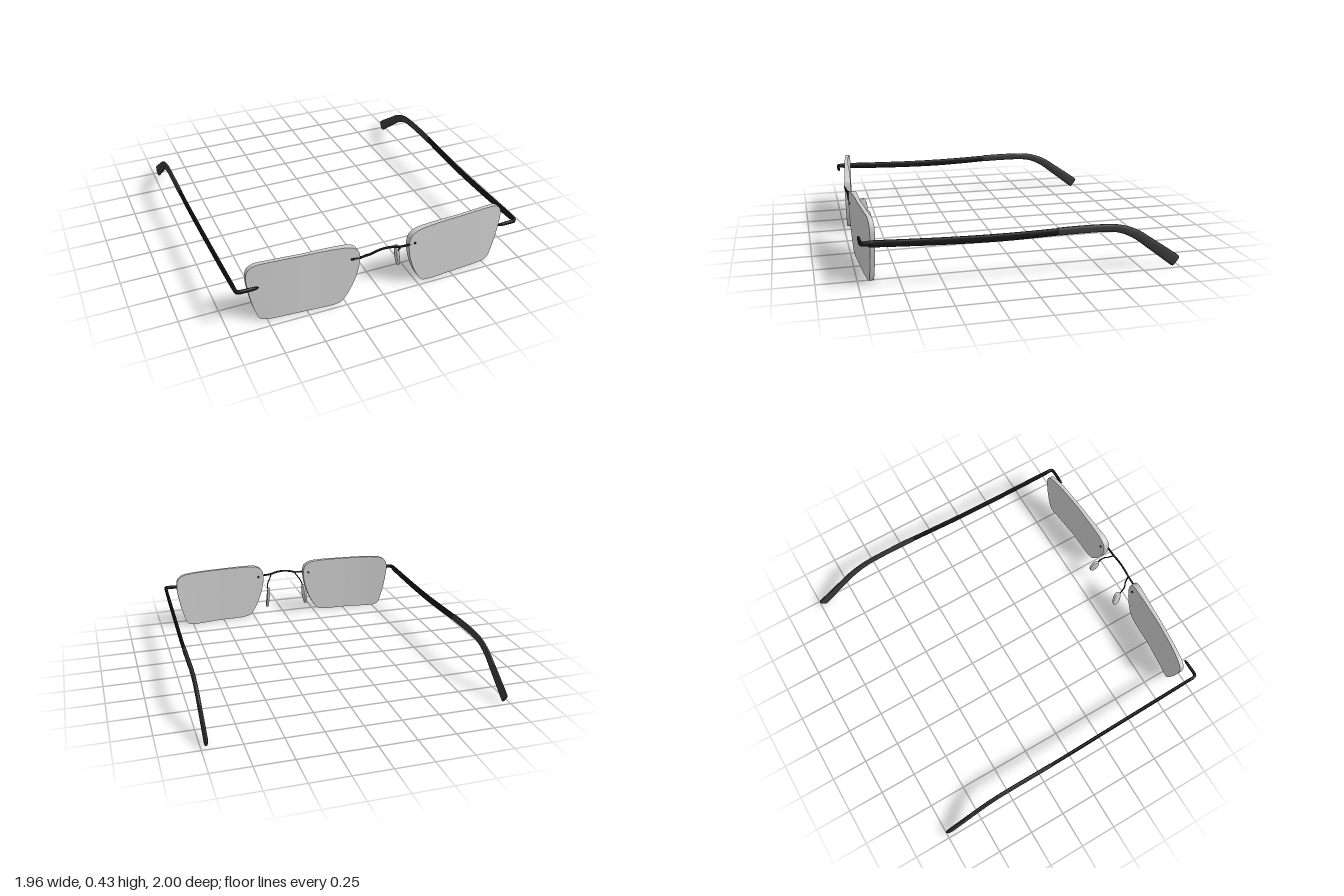
import * as THREE from 'three';
import { toCreasedNormals } from 'three/addons/utils/BufferGeometryUtils.js';

const V = (x, y, z) => new THREE.Vector3(x, y, z);
const paint = (color) => new THREE.MeshStandardMaterial({ color });

// Skin a list of equal closed rings and cap both ends
function skin(rings, crease = 0.6) {
  const n = rings[0].length, pos = [], idx = [];
  rings.forEach((r) => r.forEach((p) => pos.push(p.x, p.y, p.z)));
  for (let i = 0; i < rings.length - 1; i++) {
    for (let j = 0; j < n; j++) {
      const a = i * n + j, b = i * n + (j + 1) % n;
      idx.push(a, b, a + n, b, b + n, a + n);
    }
  }
  [0, rings.length - 1].forEach((k) => {
    const c = rings[k].reduce((s, p) => s.add(p), V(0, 0, 0)).divideScalar(n);
    const ci = pos.length / 3;
    pos.push(c.x, c.y, c.z);
    for (let j = 0; j < n; j++) {
      const a = k * n + j, b = k * n + (j + 1) % n;
      if (k === 0) idx.push(ci, b, a); else idx.push(ci, a, b);
    }
  });
  const g = new THREE.BufferGeometry();
  g.setAttribute('position', new THREE.Float32BufferAttribute(pos, 3));
  g.setIndex(idx);
  return toCreasedNormals(g, crease);
}

// Sweep a rounded section along [x, y, z, height, width] stations
function sweep(stations, steps, sides = 16) {
  const path = new THREE.CatmullRomCurve3(stations.map((s) => V(s[0], s[1], s[2])), false, 'catmullrom');
  const size = new THREE.CatmullRomCurve3(stations.map((s) => V(s[3], s[4], 0)), false, 'catmullrom');
  const soft = (c) => Math.sign(c) * Math.abs(c) ** 0.75;
  const rings = [];
  for (let i = 0; i <= steps; i++) {
    const p = path.getPoint(i / steps), s = size.getPoint(i / steps), t = path.getTangent(i / steps);
    const v = t.clone().cross(V(0, 1, 0)).normalize(), u = v.clone().cross(t);
    rings.push(Array.from({ length: sides }, (_, j) => {
      const a = (j / sides) * Math.PI * 2;
      return p.clone().addScaledVector(u, soft(Math.cos(a)) * s.x / 2)
        .addScaledVector(v, soft(Math.sin(a)) * s.y / 2);
    }));
  }
  return skin(rings);
}

// Piecewise linear lookup of z over x
function lookup(table, x) {
  let i = 0;
  while (i < table.length - 2 && x > table[i + 1][0]) i++;
  const [x0, z0] = table[i], [x1, z1] = table[i + 1];
  return z0 + (z1 - z0) * (x - x0) / (x1 - x0);
}

// Wrapped lens: rounded outline, thinner in the middle
function lensGeometry() {
  const outline = [
    [0.865, 0.34], [0.853, 0.392], [0.815, 0.42], [0.74, 0.429], [0.52, 0.432], [0.3, 0.43],
    [0.22, 0.42], [0.178, 0.39], [0.166, 0.335], [0.176, 0.25], [0.208, 0.145], [0.252, 0.06],
    [0.278, 0.026], [0.325, 0.012], [0.54, 0.01], [0.765, 0.011], [0.797, 0.026], [0.812, 0.06],
    [0.836, 0.145], [0.855, 0.24],
  ];
  const front = [[0.165, 0.99], [0.28, 0.978], [0.4, 0.967], [0.55, 0.957], [0.7, 0.943], [0.865, 0.923]];
  const back = [[0.165, 0.947], [0.32, 0.943], [0.52, 0.936], [0.7, 0.919], [0.865, 0.893]];
  const rim = new THREE.CatmullRomCurve3(outline.map(([x, y]) => V(x, y, 0)), true, 'centripetal')
    .getSpacedPoints(96).slice(0, 96);
  const ring = (k, table) => rim.map((p) => {
    const x = 0.52 + (p.x - 0.52) * k, y = 0.22 + (p.y - 0.22) * k;
    return V(x, y, lookup(table, x));
  });
  const scales = [0.02, 0.15, 0.3, 0.45, 0.6, 0.75, 0.88, 1];
  return skin([...scales.map((k) => ring(k, back)), ...scales.reverse().map((k) => ring(k, front))]);
}

// Soft oval nose pad, tilted outward toward the bottom
function padGeometry() {
  const s = new THREE.Shape();
  s.absellipse(0, 0, 0.026, 0.073, 0, Math.PI * 2);
  const g = new THREE.ExtrudeGeometry(s, {
    depth: 0.008, bevelThickness: 0.006, bevelSize: 0.007, bevelSegments: 4, curveSegments: 20,
  });
  g.translate(0, 0, -0.004).rotateY(Math.PI / 2 - 0.15).rotateZ(0.12).translate(0.15, 0.185, 0.872);
  return toCreasedNormals(g, 0.8);
}

function mirrored(geometry) {
  const g = geometry.index ? geometry.toNonIndexed() : geometry.clone();
  g.scale(-1, 1, 1);
  const order = [];
  for (let i = 0; i < g.attributes.position.count; i += 3) order.push(i, i + 2, i + 1);
  g.setIndex(order);
  return g;
}

export function createModel() {
  const group = new THREE.Group();
  const grey = paint(0xcccccc), black = paint(0x151515), charcoal = paint(0x383838);
  const add = (name, g, material) => {
    const mesh = new THREE.Mesh(g, material);
    mesh.name = name;
    group.add(mesh);
  };
  const pair = (name, g, material) => {
    add('left' + name, g, material);
    add('right' + name, mirrored(g), material);
  };

  pair('Lens', lensGeometry(), grey);
  pair('NosePad', padGeometry(), grey);

  // End piece turning the corner into the temple
  pair('EndPiece', sweep([
    [0.808, 0.307, 0.986, 0.006, 0.006], [0.82, 0.307, 0.986, 0.018, 0.014], [0.85, 0.307, 0.986, 0.024, 0.018],
    [0.91, 0.308, 0.986, 0.026, 0.019], [0.933, 0.308, 0.982, 0.028, 0.02],
    [0.942, 0.308, 0.968, 0.03, 0.02], [0.944, 0.307, 0.93, 0.032, 0.02], [0.944, 0.306, 0.9, 0.03, 0.018],
  ], 42), black);

  // Temple arm with a shallow sag
  pair('TempleArm', sweep([
    [0.943, 0.306, 0.935, 0.03, 0.016], [0.943, 0.305, 0.92, 0.042, 0.02], [0.947, 0.296, 0.7, 0.045, 0.022],
    [0.951, 0.288, 0.45, 0.047, 0.022], [0.956, 0.285, 0.2, 0.049, 0.022], [0.961, 0.288, 0, 0.048, 0.022],
    [0.965, 0.294, -0.195, 0.046, 0.022],
  ], 36), black);

  // Temple tip curving down behind the ear
  pair('TempleTip', sweep([
    [0.965, 0.295, -0.193, 0.05, 0.025], [0.966, 0.297, -0.35, 0.05, 0.025], [0.966, 0.294, -0.5, 0.049, 0.025],
    [0.966, 0.28, -0.6, 0.052, 0.025], [0.966, 0.238, -0.7, 0.06, 0.025], [0.966, 0.168, -0.8, 0.067, 0.025],
    [0.966, 0.096, -0.9, 0.074, 0.025], [0.966, 0.046, -0.968, 0.078, 0.024], [0.966, 0.036, -0.982, 0.066, 0.018],
  ], 56), charcoal);

  // Arched bridge wire, nose pad wires and lens screws
  add('bridge', sweep([
    [-0.225, 0.336, 0.985, 0.012, 0.012], [-0.16, 0.334, 0.985, 0.014, 0.012], [-0.1, 0.338, 0.985, 0.014, 0.012],
    [-0.05, 0.351, 0.985, 0.015, 0.012], [0, 0.356, 0.985, 0.015, 0.012], [0.05, 0.351, 0.985, 0.015, 0.012],
    [0.1, 0.338, 0.985, 0.014, 0.012], [0.16, 0.334, 0.985, 0.014, 0.012], [0.195, 0.336, 0.98, 0.012, 0.012],
  ], 48, 12), black);
  const wire = new THREE.CatmullRomCurve3([
    V(0.093, 0.339, 0.985), V(0.104, 0.328, 0.968), V(0.115, 0.312, 0.95), V(0.134, 0.285, 0.935),
    V(0.142, 0.262, 0.912), V(0.145, 0.225, 0.888), V(0.147, 0.195, 0.875),
  ]);
  pair('NosePadWire', new THREE.TubeGeometry(wire, 28, 0.0045, 8), black);
  const screw = new THREE.CylinderGeometry(0.008, 0.008, 0.05, 14);
  screw.rotateX(Math.PI / 2).translate(0.207, 0.336, 0.965);
  pair('LensScrew', screw, black);

  return group;
}
